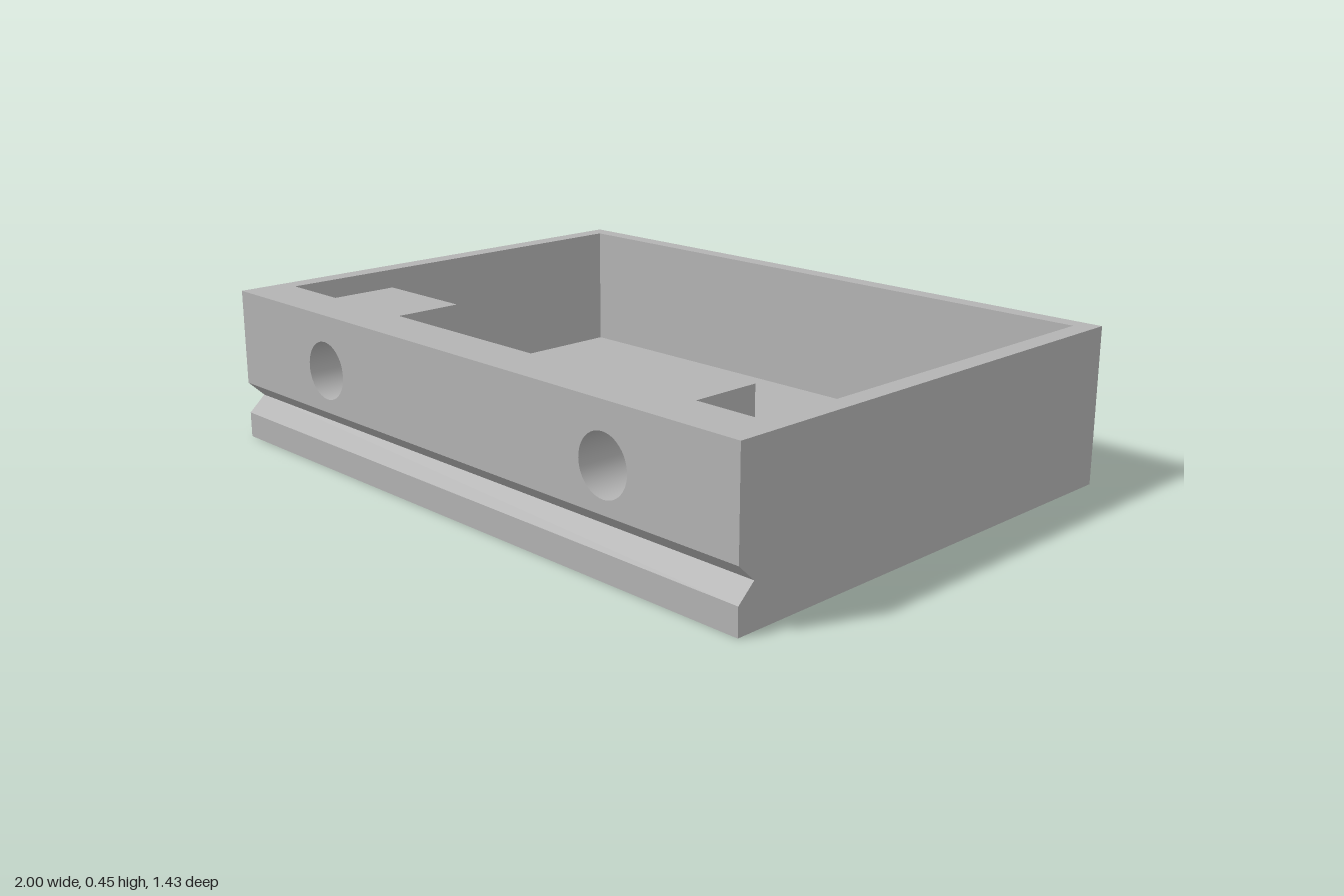
import * as THREE from 'three';

const W = 1, D = 0.715, H = 0.45, FLOOR = 0.075;
const GROOVE_TOP = 0.168, GROOVE_MID = 0.121, GROOVE_DEPTH = 0.05;
const HOLE_X = 0.57, HOLE_Y = 0.29, BORE = 0.083, PILOT = 0.053;
const BORE_END = D - 0.2, PILOT_END = D - 0.3;

const shapeOf = (pts) => new THREE.Shape(pts.map(([x, y]) => new THREE.Vector2(x, y)));

// Flat-faced strip: sweeps a polyline of 3D points along one vector
function strip(points, sweep) {
  const pos = [];
  for (let i = 0; i < points.length - 1; i++) {
    const a = points[i], b = points[i + 1];
    const c = b.map((v, k) => v + sweep[k]), d = a.map((v, k) => v + sweep[k]);
    pos.push(...a, ...b, ...c, ...a, ...c, ...d);
  }
  const g = new THREE.BufferGeometry();
  g.setAttribute('position', new THREE.Float32BufferAttribute(pos, 3));
  g.computeVertexNormals();
  return g;
}

export function createModel() {
  const group = new THREE.Group();
  group.name = 'tray';
  const grey = new THREE.MeshStandardMaterial({ color: 0xb3b3b3, side: THREE.DoubleSide });
  grey.name = 'grey';
  const add = (name, geometry) => {
    const mesh = new THREE.Mesh(geometry, grey);
    mesh.name = name;
    group.add(mesh);
  };

  // Cavity outline in x, z with two blocks standing in from the front wall
  const cavity = [
    [-0.943, -0.663], [0.943, -0.663], [0.943, 0.57], [0.728, 0.57], [0.728, 0.37],
    [0.415, 0.37], [0.415, 0.57], [-0.415, 0.57], [-0.415, 0.37], [-0.728, 0.37],
    [-0.728, 0.57], [-0.943, 0.57],
  ];
  const flipped = cavity.map(([x, z]) => [x, -z]);
  const rim = shapeOf([[-W, -D], [W, -D], [W, D], [-W, D]]);
  rim.holes.push(shapeOf(flipped));
  add('rim', new THREE.ShapeGeometry(rim).rotateX(-Math.PI / 2).translate(0, H, 0));
  add('cavityFloor', new THREE.ShapeGeometry(shapeOf(flipped)).rotateX(-Math.PI / 2).translate(0, FLOOR, 0));
  add('cavityWalls', strip([...cavity, cavity[0]].map(([x, z]) => [x, FLOOR, z]), [0, H - FLOOR, 0]));

  // Side profile in z, y with the V groove; swept along x for groove, underside and back
  const profile = [
    [D, GROOVE_TOP], [D - GROOVE_DEPTH, GROOVE_MID], [D, FLOOR], [D, 0], [-D, 0], [-D, H],
  ];
  add('grooveBottomAndBack', strip(profile.map(([z, y]) => [-W, y, z]), [2 * W, 0, 0]));
  for (const s of [1, -1]) {
    const side = shapeOf([...profile, [D, H]].map(([z, y]) => [-s * z, y]));
    add(s > 0 ? 'leftSide' : 'rightSide',
      new THREE.ShapeGeometry(side).rotateY(s * Math.PI / 2).translate(s * W, 0, 0));
  }

  // Front panel above the groove, pierced by the two bores
  const front = shapeOf([[-W, GROOVE_TOP], [W, GROOVE_TOP], [W, H], [-W, H]]);
  for (const x of [-HOLE_X, HOLE_X]) {
    front.holes.push(new THREE.Path().absarc(x, HOLE_Y, BORE, 0, Math.PI * 2, true));
  }
  add('frontPanel', new THREE.ShapeGeometry(front, 24).translate(0, 0, D));

  // Stepped blind holes
  const tube = (r, z0, z1) => new THREE.CylinderGeometry(r, r, z1 - z0, 48, 1, true)
    .rotateX(Math.PI / 2).translate(0, 0, (z0 + z1) / 2);
  for (const x of [-HOLE_X, HOLE_X]) {
    const place = (g) => g.translate(x, HOLE_Y, 0);
    add('bore', place(tube(BORE, BORE_END, D)));
    add('boreStep', place(new THREE.RingGeometry(PILOT, BORE, 48).translate(0, 0, BORE_END)));
    add('pilotHole', place(tube(PILOT, PILOT_END, BORE_END)));
    add('pilotEnd', place(new THREE.CircleGeometry(PILOT, 48).translate(0, 0, PILOT_END)));
  }
  return group;
}
